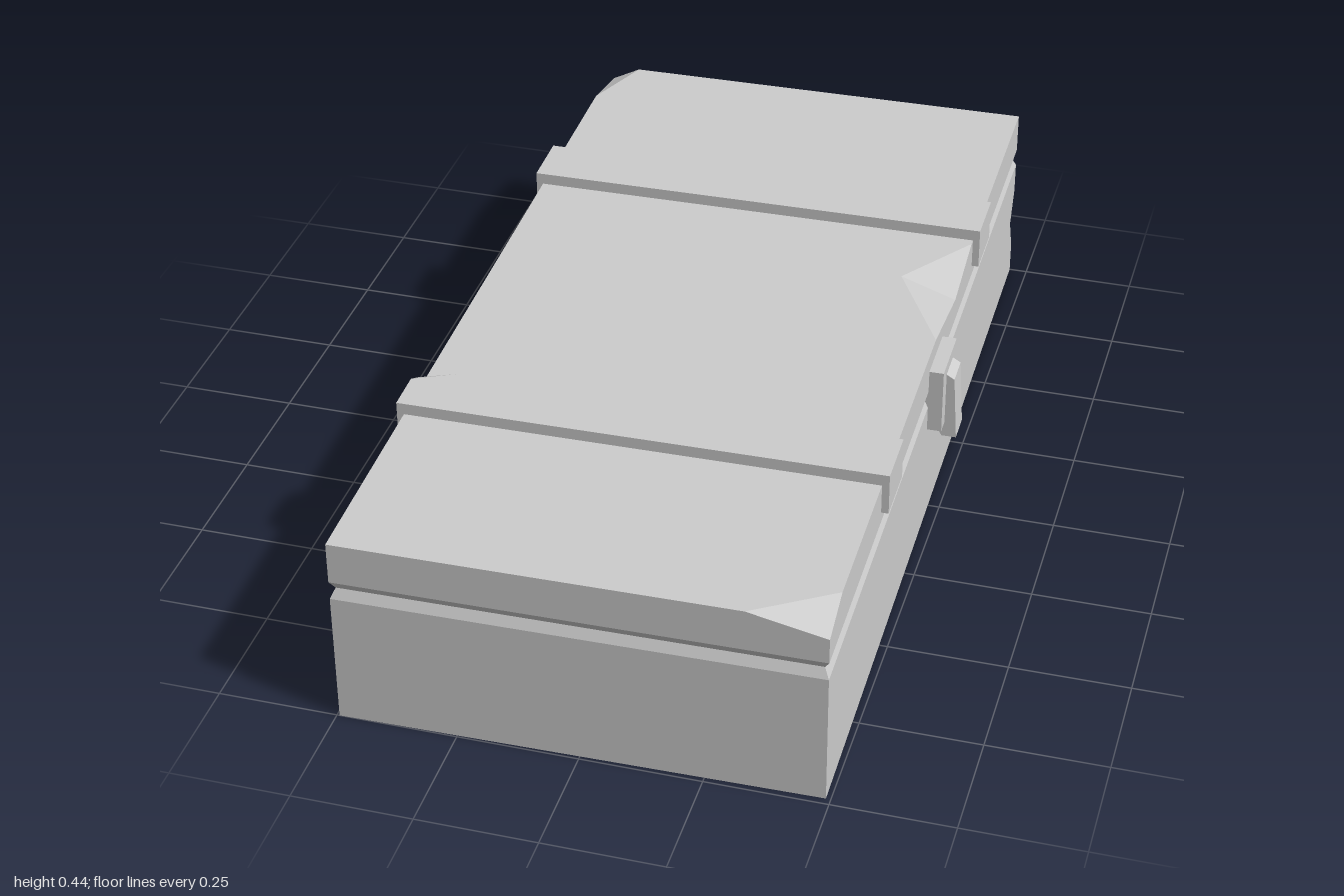
import * as THREE from 'three';
import { ConvexGeometry } from 'three/addons/geometries/ConvexGeometry.js';

const W = 0.4925, L = 0.9925;            // half width and half length of the case
const GROOVE = 0.01;                     // depth of the seam between body and lid
const Y = { rim: 0.29, seam: 0.312, lid: 0.33, top: 0.42 };

// Flat-faced geometry from polygons, each fanned from its first corner and turned outward
function facets(polygons) {
  const pos = [];
  const centre = new THREE.Vector3(0, 0.2, 0);
  for (const polygon of polygons) {
    const p = polygon.map((c) => new THREE.Vector3(...c));
    for (let i = 1; i < p.length - 1; i++) {
      const [a, b, c] = [p[0], p[i], p[i + 1]];
      const n = b.clone().sub(a).cross(c.clone().sub(a));
      if (n.length() < 1e-9) continue;
      const mid = a.clone().add(b).add(c).divideScalar(3).sub(centre);
      const tri = n.dot(mid) > 0 ? [a, b, c] : [a, c, b];
      tri.forEach((v) => pos.push(v.x, v.y, v.z));
    }
  }
  const g = new THREE.BufferGeometry();
  g.setAttribute('position', new THREE.Float32BufferAttribute(pos, 3));
  g.computeVertexNormals();
  return g;
}

// Rectangle of corners: front right, back right, back left, front left
const ring = (y, inset = 0) => [[1, 1], [1, -1], [-1, -1], [-1, 1]]
  .map(([sx, sz]) => [sx * (W - inset), y, sz * (L - inset)]);

// Four walls joining two rings
const walls = (a, b) => a.map((p, i) => {
  const j = (i + 1) % 4;
  return [p, a[j], b[j], b[i]];
});

function bodyGeometry() {
  const [fr, br, bl, fl] = ring(0);
  const [FR, BR, BL, FL] = ring(Y.rim);
  // Notch knocked out of the back right edge
  const low = [W, 0.07, -L], high = [W, 0.22, -L];
  const side = [W, 0.15, -L + 0.038], back = [W - 0.036, 0.15, -L];
  return facets([
    [fr, br, bl, fl],
    [fr, br, low, side, high, BR, FR],
    [bl, br, low, back, high, BR, BL],
    [bl, BL, FL, fl],
    [fl, FL, FR, fr],
    [low, side, back], [high, side, back],
    ...walls(ring(Y.rim), ring(Y.seam, GROOVE)),
  ]);
}

function lidGeometry() {
  const [fr, br, bl, fl] = ring(Y.lid);
  const [, BR, , FL] = ring(Y.top);
  const t = Y.top;
  // Worn corners: lowered corner and the two points where the chip meets the top
  const frLow = [W, 0.385, L], frX = [0.33, t, L], frZ = [W, t, 0.89];
  const blLow = [-W, 0.388, -L], blX = [-0.43, t, -L], blZ = [-W, t, -0.84];
  // Dent in the right edge
  const dentA = [W, t, 0], dentLow = [W, 0.385, -0.22], dentB = [W, t, -0.4];
  const dentIn = [0.371, t, -0.23];
  return facets([
    ...walls(ring(Y.seam, GROOVE), ring(Y.lid)),
    [[W, Y.lid, -0.22], br, BR, dentB, dentLow, dentA, frZ, frLow, fr],
    [br, bl, blLow, blX, BR],
    [fl, FL, blZ, blLow, bl],
    [fl, fr, frLow, frX, FL],
    [[-W, t, 0], FL, frX, frZ, dentA, dentIn, dentB, BR, blX, blZ],
    [frLow, frX, frZ], [blLow, blX, blZ],
    [dentA, dentLow, dentIn], [dentB, dentLow, dentIn],
  ]);
}

// Raised band across the lid, optionally with a chipped back left corner
function strapGeometry(z, chipped) {
  const w = 0.5075, d = 0.065, bottom = 0.355, top = 0.445;
  const pts = [];
  for (const x of [-w, w]) for (const y of [bottom, top]) for (const dz of [-d, d]) {
    if (chipped && x < 0 && y === top && dz < 0) {
      pts.push([x, top - 0.022, z + dz], [x + 0.085, top, z + dz], [x, top, z + dz + 0.04]);
    } else pts.push([x, y, z + dz]);
  }
  return new ConvexGeometry(pts.map((p) => new THREE.Vector3(...p)));
}

export function createModel() {
  const grey = new THREE.MeshStandardMaterial({ color: 0xcccccc });
  grey.name = 'plain grey';
  const model = new THREE.Group();
  model.name = 'case';
  // The case sits slightly turned
  model.position.x = -0.0175;
  model.rotation.y = 0.0155;

  const add = (name, geometry) => {
    const mesh = new THREE.Mesh(geometry, grey);
    mesh.name = name;
    model.add(mesh);
    return mesh;
  };

  add('body', bodyGeometry());
  add('lid', lidGeometry());
  add('backStrap', strapGeometry(-0.48, false));
  add('frontStrap', strapGeometry(0.473, true));

  // Latch on the right side: mounting plate and hanging hasp
  const latchZ = -0.009;
  add('latchPlate', new THREE.BoxGeometry(0.04, 0.145, 0.14)).position.set(0.503, 0.3075, latchZ);

  const hasp = new THREE.Shape([
    [0.515, 0.355], [0.505, 0.222], [0.518, 0.2], [0.549, 0.2], [0.54, 0.345], [0.523, 0.355],
  ].map(([x, y]) => new THREE.Vector2(x, y)));
  const haspGeometry = new THREE.ExtrudeGeometry(hasp, { depth: 0.068, bevelEnabled: false });
  add('latchHasp', haspGeometry).position.z = latchZ - 0.034;

  const root = new THREE.Group();
  root.name = 'metalCase';
  root.add(model);
  return root;
}
